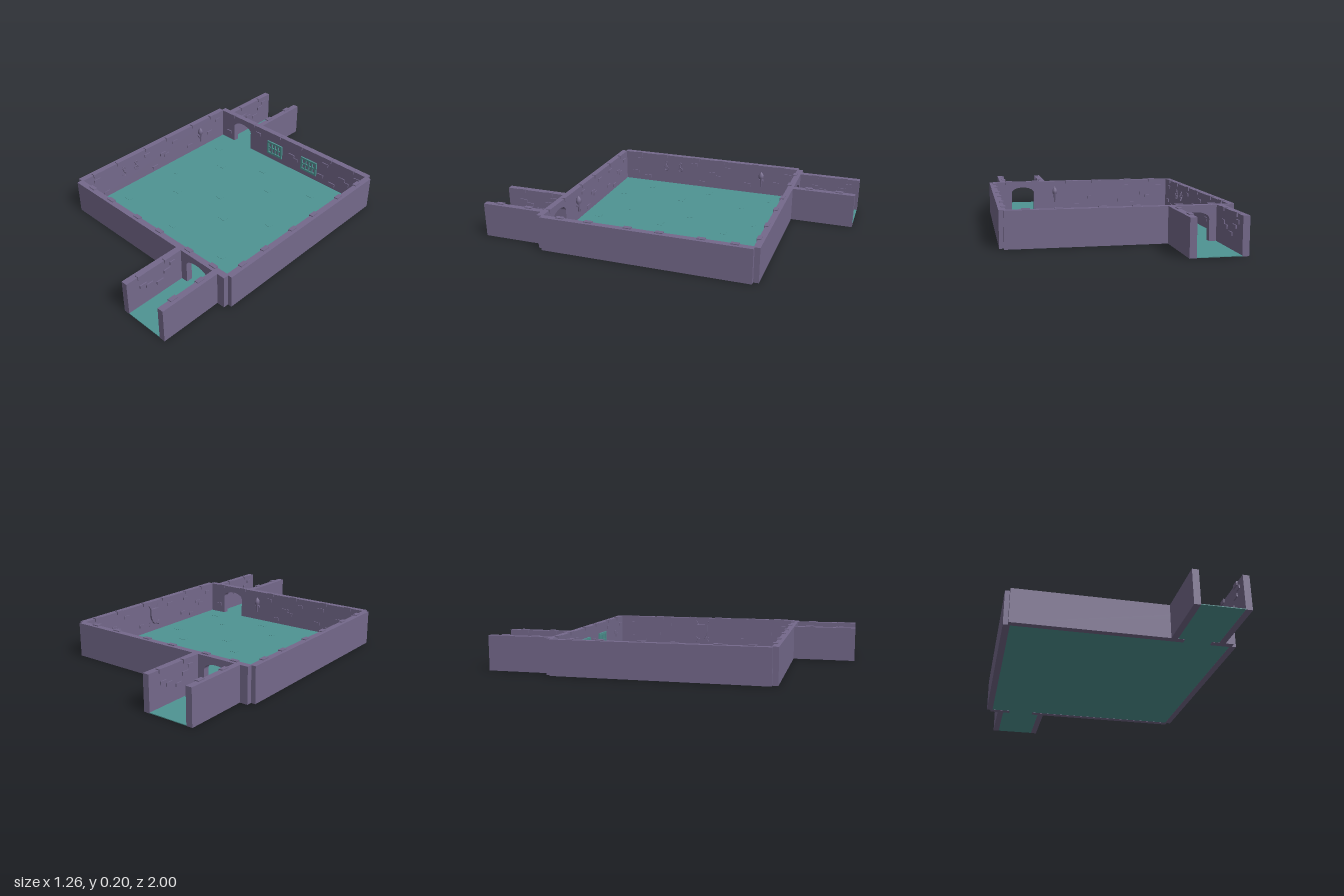
import * as THREE from 'three';

const stone = new THREE.MeshStandardMaterial({ color: 0x74698b });
stone.name = 'purple stone';
const teal = new THREE.MeshStandardMaterial({ color: 0x4f9493 });
teal.name = 'teal floor';

const H = 0.2;      // wall height
const T = 0.036;    // wall thickness
const R = 0.597;    // distance from the centre to the inner wall faces
const DOOR = -0.405;

function add(parent, name, geometry, material, x = 0, y = 0, z = 0) {
  const mesh = new THREE.Mesh(geometry, material);
  mesh.name = name;
  mesh.position.set(x, y, z);
  parent.add(mesh);
  return mesh;
}

function box(parent, name, material, w, h, d, x, y, z) {
  return add(parent, name, new THREE.BoxGeometry(w, h, d), material, x, y, z);
}

// Bricks standing slightly proud of the wall face (local z = 0)
function faceBrick(wall, u, y, w = 0.045) {
  box(wall, 'faceBrick', stone, w, 0.02, 0.012, u, y, 0);
}

// Bricks sitting in the top inner edge of a wall
function capBrick(wall, u) {
  box(wall, 'capBrick', stone, 0.045, 0.022, 0.024, u, H - 0.006, -0.006);
}

// Room wall: inner face at local z = 0, facing +z
function roomWall(parent, name, x, z, turn, hasDoor, blocked = []) {
  const wall = new THREE.Group();
  wall.name = name;
  wall.position.set(x, 0, z);
  wall.rotation.y = turn;
  parent.add(wall);
  const half = 0.603;

  const s = new THREE.Shape();
  s.moveTo(-half, 0);
  if (hasDoor) {
    s.lineTo(DOOR - 0.075, 0);
    s.lineTo(DOOR - 0.075, 0.125);
    s.absellipse(DOOR, 0.125, 0.075, 0.037, Math.PI, 0, true);
    s.lineTo(DOOR + 0.075, 0);
  }
  s.lineTo(half, 0);
  s.lineTo(half, H);
  s.lineTo(-half, H);
  s.closePath();
  const g = new THREE.ExtrudeGeometry(s, { depth: T, bevelEnabled: false, curveSegments: 14 });
  add(wall, 'wallPanel', g, stone, 0, 0, -T);

  for (const u of [-0.5, -0.32, -0.09, 0.09, 0.32, 0.49]) capBrick(wall, u);

  // The same brick layout repeats on three panels
  const layout = [[0.03, 0.105], [0.062, 0.085], [-0.1, 0.155], [-0.13, 0.06], [0.14, 0.15], [-0.04, 0.035]];
  for (const centre of [-0.4, 0, 0.4]) {
    for (const [du, y] of layout) {
      const u = centre + du;
      const inDoor = hasDoor && Math.abs(u - DOOR) < 0.11;
      if (!inDoor && !blocked.some((b) => Math.abs(u - b) < 0.09)) faceBrick(wall, u, y);
    }
  }
  return wall;
}

// Corridor with two side walls, leading away along -z
function corridor(parent, name, turn) {
  const c = new THREE.Group();
  c.name = name;
  c.rotation.y = turn;
  parent.add(c);
  const start = R + T;
  const len = 1 - start;
  const mid = -(1 + start) / 2;
  box(c, 'corridorFloor', teal, 0.232, 0.004, 1 - R, DOOR, 0.003, -(1 + R) / 2);
  for (const side of [-1, 1]) {
    const wall = new THREE.Group();
    wall.name = 'corridorWall';
    wall.position.set(DOOR + side * 0.115, 0, mid);
    wall.rotation.y = -side * Math.PI / 2;
    c.add(wall);
    box(wall, 'wallPanel', stone, len, H, T, 0, H / 2, -T / 2);
    for (const u of [-0.09, 0.09]) {
      capBrick(wall, u);
      faceBrick(wall, u * 0.9, 0.13);
    }
    faceBrick(wall, -0.04, 0.11);
    faceBrick(wall, 0.03, 0.085);
    faceBrick(wall, 0.12, 0.16, 0.035);
  }
}

// Barred wall grate
function grate(wall, u) {
  const g = new THREE.Group();
  g.name = 'wallGrate';
  g.position.set(u, 0.09, 0.004);
  wall.add(g);
  for (const s of [-1, 1]) {
    box(g, 'grateRail', teal, 0.125, 0.013, 0.012, 0, s * 0.04, 0);
    box(g, 'grateStile', teal, 0.013, 0.08, 0.012, s * 0.056, 0, 0);
    box(g, 'grateBar', teal, 0.009, 0.08, 0.008, s * 0.026, 0, 0);
  }
  box(g, 'grateBar', teal, 0.009, 0.08, 0.008, 0, 0, 0);
  box(g, 'grateCrossbar', teal, 0.11, 0.009, 0.008, 0, 0, 0);
}

// Wall torch: tapered handle with a flared cup
function torch(wall, u) {
  const pts = [[0, 0], [0.006, 0], [0.008, 0.05], [0.017, 0.062], [0.017, 0.08], [0.008, 0.095], [0, 0.105]];
  const g = new THREE.LatheGeometry(pts.map((p) => new THREE.Vector2(...p)), 10);
  add(wall, 'torch', g, stone, u, 0.06, 0.013);
  box(wall, 'torchBracket', stone, 0.03, 0.012, 0.014, u, 0.1, 0.006);
}

// Shield over two crossed blades
function shield(wall, u) {
  const s = new THREE.Shape();
  s.moveTo(-0.036, 0.045);
  s.lineTo(0.036, 0.045);
  s.lineTo(0.036, 0);
  s.quadraticCurveTo(0.03, -0.04, 0, -0.06);
  s.quadraticCurveTo(-0.03, -0.04, -0.036, 0);
  s.closePath();
  const g = new THREE.ExtrudeGeometry(s, { depth: 0.014, bevelEnabled: false });
  add(wall, 'shield', g, stone, u, 0.11, 0.004);
  for (const side of [-1, 1]) {
    const blade = box(wall, 'crossedBlade', stone, 0.009, 0.165, 0.008, u, 0.11, 0.006);
    blade.rotation.z = side * 0.55;
    const guard = box(wall, 'bladeGuard', stone, 0.03, 0.008, 0.012, u + side * 0.03, 0.06, 0.008);
    guard.rotation.z = side * 0.55;
  }
}

// Hanging shackle: two links and a ring
function shackle(wall, u) {
  for (let i = 0; i < 3; i++) {
    const link = add(wall, 'shackleLink', new THREE.TorusGeometry(i === 2 ? 0.014 : 0.009, 0.003, 6, 10),
      stone, u, 0.15 - i * 0.02, 0.009);
    link.rotation.y = i === 1 ? Math.PI / 2 : 0;
  }
}

export function createModel() {
  const model = new THREE.Group();
  model.name = 'dungeonRoom';

  // Floor with faintly raised slabs
  box(model, 'roomFloor', teal, 2 * R, 0.004, 2 * R, 0, 0.003, 0);
  for (const x of [-0.4, 0, 0.4]) {
    for (const z of [-0.4, 0, 0.4]) {
      box(model, 'floorSlab', teal, 0.05, 0.002, 0.035, x + 0.08, 0.0055, z + 0.1);
      box(model, 'floorSlab', teal, 0.04, 0.002, 0.03, x - 0.08, 0.0055, z - 0.04);
    }
  }

  // Walls
  const back = roomWall(model, 'backWall', 0, -R, 0, true, [-0.11, 0.175]);
  const front = roomWall(model, 'frontWall', 0, R, Math.PI, true, [-0.19]);
  const right = roomWall(model, 'rightWall', -R + 0.004, 0, Math.PI / 2, false, [0.365, -0.2, -0.3]);
  const left = roomWall(model, 'leftWall', R - 0.006, 0, -Math.PI / 2, false, [-0.02]);

  // Corridors
  corridor(model, 'backCorridor', 0);
  corridor(model, 'frontCorridor', Math.PI);

  // Wall fittings
  for (const u of [-0.11, 0.175]) grate(back, u);
  torch(front, -0.19);
  torch(right, 0.365);
  for (const u of [-0.2, -0.3]) shackle(right, u);
  shield(left, -0.02);

  return model;
}
